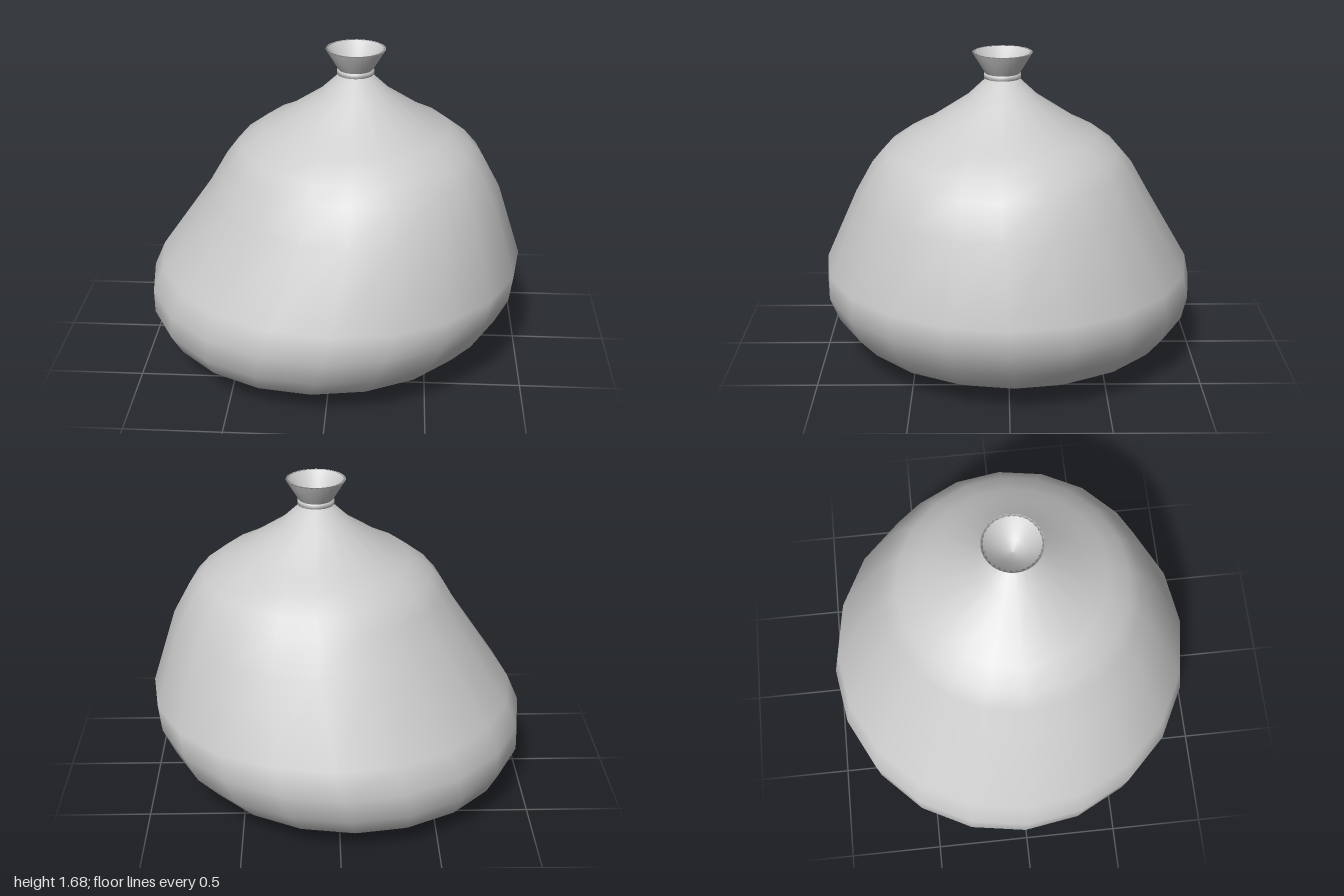
import * as THREE from 'three';

const SIDES = 20;

// Horizontal rings of the sack: [y, radius, centre x, centre z]
const RINGS = [
  [0.02, 0.57, -0.11, -0.025],
  [0.05, 0.735, -0.095, -0.025],
  [0.14, 0.87, -0.07, -0.015],
  [0.26, 0.957, -0.045, -0.01],
  [0.40, 0.99, -0.01, 0],
  [0.54, 0.968, 0.03, 0.01],
  [0.94, 0.765, 0.105, 0.035],
  [1.10, 0.675, 0.108, 0.035],
  [1.18, 0.605, 0.108, 0.033],
  [1.26, 0.495, 0.108, 0.03],
  [1.30, 0.41, 0.108, 0.03],
  [1.45, 0.185, 0.108, 0.03],
  [1.545, 0.085, 0.108, 0.03],
];

// Loft the rings and close both ends with a centre point
function sackGeometry() {
  const pos = [], index = [];
  for (const [y, r, cx, cz] of RINGS) {
    for (let i = 0; i < SIDES; i++) {
      const a = (i / SIDES) * Math.PI * 2;
      pos.push(cx + r * Math.cos(a), y, cz + r * Math.sin(a));
    }
  }
  const last = (RINGS.length - 1) * SIDES;
  const bottom = RINGS.length * SIDES, top = bottom + 1;
  pos.push(-0.11, 0, -0.025, 0.108, 1.55, 0.03);
  for (let i = 0; i < SIDES; i++) {
    const j = (i + 1) % SIDES;
    for (let k = 0; k < last; k += SIDES) {
      const a = k + i, b = k + j, c = a + SIDES, d = b + SIDES;
      index.push(a, c, b, b, c, d);
    }
    index.push(bottom, i, j, top, last + j, last + i);
  }
  const g = new THREE.BufferGeometry();
  g.setAttribute('position', new THREE.Float32BufferAttribute(pos, 3));
  g.setIndex(index);
  g.computeVertexNormals();
  return g;
}

export function createModel() {
  const group = new THREE.Group();
  group.name = 'tiedSack';
  const material = new THREE.MeshStandardMaterial({ color: 0xcccccc, side: THREE.DoubleSide });

  const add = (name, geometry, x = 0, y = 0, z = 0) => {
    const mesh = new THREE.Mesh(geometry, material);
    mesh.name = name;
    mesh.position.set(x, y, z);
    group.add(mesh);
  };

  add('sackBody', sackGeometry());

  // Tie band around the neck
  const band = [[0.08, 1.545], [0.095, 1.548], [0.095, 1.57], [0.08, 1.575]];
  // Flared, hollow mouth: outer wall, rim, inner cone
  const mouth = [[0.08, 1.565], [0.09, 1.575], [0.154, 1.68], [0.14, 1.68], [0.06, 1.585], [0, 1.57]];
  const lathe = (pts) => new THREE.LatheGeometry(pts.map(([r, y]) => new THREE.Vector2(r, y)), 32);
  add('neckTie', lathe(band), 0.108, 0, 0.03);
  add('flaredMouth', lathe(mouth), 0.108, 0, 0.03);

  return group;
}
